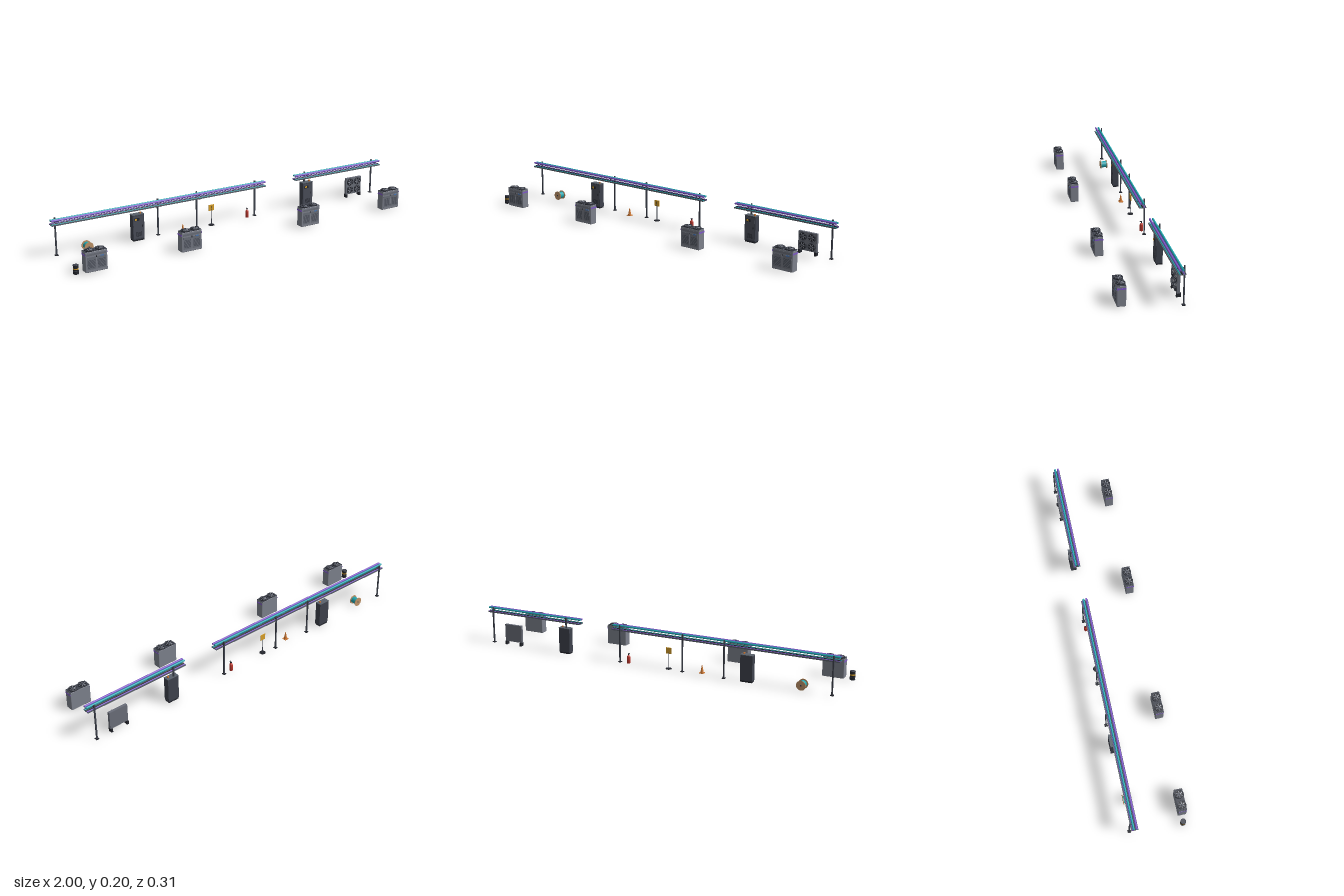
import * as THREE from 'three';
import { RoundedBoxGeometry } from 'three/addons/geometries/RoundedBoxGeometry.js';

const mats = {};
const mat = (c) => (mats[c] ??= new THREE.MeshStandardMaterial({ color: c }));
const BODY = 0x7d818c, FRAME = 0x6a6e79, DARK = 0x3e424d, BLACK = 0x22242b, STEEL = 0x5a626c;
const PURPLE = 0x7e57c8, TEAL = 0x22a6b0, YELLOW = 0xd9a02a, ORANGE = 0xd07a35, RED = 0xc0392f, TAN = 0xc09468;

function add(parent, name, geo, color, x = 0, y = 0, z = 0) {
  const m = new THREE.Mesh(geo, mat(color));
  m.name = name;
  m.position.set(x, y, z);
  parent.add(m);
  return m;
}
const box = (p, name, c, w, h, d, x, y, z) => add(p, name, new THREE.BoxGeometry(w, h, d), c, x, y, z);
const cyl = (p, name, c, r0, r1, h, x, y, z, n = 20) => add(p, name, new THREE.CylinderGeometry(r0, r1, h, n), c, x, y, z);
function group(parent, name, x, y, z) {
  const g = new THREE.Group();
  g.name = name;
  g.position.set(x, y, z);
  parent.add(g);
  return g;
}

// Fan facing +y: dark disc, rim, blades and hub
function fan(parent, r, x, y, z) {
  const g = group(parent, 'fan', x, y, z);
  cyl(g, 'fanWell', BLACK, r, r, 0.003, 0, 0.0015, 0, 24);
  const rim = add(g, 'fanRim', new THREE.TorusGeometry(r * 0.93, r * 0.08, 6, 24), DARK, 0, 0.004, 0);
  rim.rotation.x = Math.PI / 2;
  for (let i = 0; i < 6; i++) {
    const a = (i * Math.PI) / 3;
    const b = box(g, 'fanBlade', BODY, r * 0.6, 0.0008, r * 0.22, Math.cos(a) * r * 0.5, 0.004, -Math.sin(a) * r * 0.5);
    b.rotation.set(0.3, a, 0, 'YXZ');
  }
  cyl(g, 'fanHub', DARK, r * 0.22, r * 0.22, 0.003, 0, 0.0045, 0, 12);
  return g;
}

// Cooling unit with two roof fans and louvred front doors
function chiller(parent, x) {
  const g = group(parent, 'coolingUnit', x, 0, 0.131);
  add(g, 'casing', new RoundedBoxGeometry(0.113, 0.103, 0.043, 2, 0.003), BODY, 0, 0.0535, 0);
  box(g, 'roofPlate', DARK, 0.111, 0.002, 0.041, 0, 0.105, 0);
  for (const s of [-1, 1]) {
    fan(g, 0.0225, s * 0.027, 0.106, 0);
    box(g, 'sideStripe', PURPLE, 0.001, 0.008, 0.042, s * 0.0568, 0.09, 0);
    box(g, 'door', FRAME, 0.046, 0.062, 0.001, s * 0.026, 0.047, 0.0217);
    for (let i = 0; i < 7; i++)
      box(g, 'louvre', DARK, 0.038, 0.002, 0.001, s * 0.026, 0.026 + i * 0.006, 0.0223);
  }
  box(g, 'header', FRAME, 0.1, 0.01, 0.001, 0, 0.09, 0.0217);
  box(g, 'statusDisplay', 0x4a78b8, 0.018, 0.006, 0.001, 0.03, 0.0785, 0.0222);
  box(g, 'handle', BLACK, 0.003, 0.009, 0.002, 0, 0.078, 0.0222);
}

// Electrical cabinet with screen, warning plate and beacon
function cabinet(parent, x) {
  const g = group(parent, 'controlCabinet', x, 0, -0.1365);
  box(g, 'plinth', BLACK, 0.06, 0.008, 0.03, 0, 0.004, 0);
  box(g, 'cabinetBody', DARK, 0.064, 0.13, 0.032, 0, 0.073, 0);
  box(g, 'cabinetRoof', STEEL, 0.066, 0.003, 0.033, 0, 0.1385, 0);
  box(g, 'door', 0x4a4e59, 0.056, 0.118, 0.001, 0, 0.073, 0.0163);
  box(g, 'screen', BLACK, 0.028, 0.014, 0.0025, -0.01, 0.115, 0.0172);
  box(g, 'warningPlate', YELLOW, 0.012, 0.01, 0.001, -0.015, 0.115, 0.0189);
  box(g, 'doorHandle', BLACK, 0.004, 0.012, 0.003, 0.02, 0.078, 0.0178);
  for (let i = 0; i < 5; i++) box(g, 'vent', BLACK, 0.034, 0.002, 0.001, 0, 0.025 + i * 0.005, 0.017);
  cyl(g, 'beacon', ORANGE, 0.0045, 0.0045, 0.008, 0.018, 0.144, 0.001, 12);
}

// Cable tray carrying cables, with two coolant pipes above
function trayRun(parent, x0, x1, posts) {
  const g = group(parent, 'overheadRun', 0, 0, 0);
  const len = x1 - x0, mid = (x0 + x1) / 2;
  const pipe = (name, c, r, y, z) => { cyl(g, name, c, r, r, len, mid, y, z, 14).rotation.z = Math.PI / 2; };
  box(g, 'trayFloor', STEEL, len, 0.002, 0.036, mid, 0.1665, -0.125);
  for (const z of [-0.1075, -0.1425]) box(g, 'trayLip', STEEL, len, 0.007, 0.001, mid, 0.169, z);
  pipe('purplePipe', PURPLE, 0.0052, 0.19, -0.115);
  pipe('tealPipe', TEAL, 0.0052, 0.19, -0.13);
  pipe('tealCable', TEAL, 0.0028, 0.1705, -0.115);
  pipe('blackCable', BLACK, 0.0032, 0.171, -0.125);
  pipe('purpleCable', PURPLE, 0.0028, 0.1705, -0.135);
  for (const x of posts) {
    box(g, 'post', DARK, 0.007, 0.197, 0.006, x, 0.0985, -0.1445);
    box(g, 'postFoot', BLACK, 0.016, 0.003, 0.017, x, 0.0015, -0.1445);
    box(g, 'trayArm', DARK, 0.007, 0.002, 0.036, x, 0.1648, -0.126);
    box(g, 'pipeArm', DARK, 0.006, 0.003, 0.034, x, 0.1845, -0.127);
  }
}

// Free-standing radiator with four fans
function radiator(parent, x) {
  const g = group(parent, 'radiator', x, 0, -0.1405);
  box(g, 'radiatorCore', FRAME, 0.104, 0.094, 0.014, 0, 0.0655, 0);
  for (const sx of [-1, 1]) {
    box(g, 'radiatorFoot', BLACK, 0.01, 0.019, 0.022, sx * 0.046, 0.0095, -0.0015);
    for (const sy of [-1, 1]) fan(g, 0.021, sx * 0.025, 0.0655 + sy * 0.023, 0.007).rotation.x = Math.PI / 2;
  }
}

// Cable drum lying with its axle front to back
function drum(parent, x) {
  const g = group(parent, 'cableDrum', x, 0.0245, -0.125);
  g.rotation.x = Math.PI / 2;
  cyl(g, 'woundCable', TEAL, 0.018, 0.018, 0.034, 0, 0, 0, 24);
  for (const s of [-1, 1]) {
    cyl(g, 'drumFlange', TAN, 0.0245, 0.0245, 0.003, 0, s * 0.0175, 0, 24);
    cyl(g, 'drumHub', DARK, 0.004, 0.004, 0.001, 0, s * 0.0194, 0, 12);
  }
}

function cone(parent, x) {
  const g = group(parent, 'trafficCone', x, 0, -0.118);
  box(g, 'coneBase', ORANGE, 0.024, 0.003, 0.024, 0, 0.0015, 0);
  cyl(g, 'coneBody', ORANGE, 0.0015, 0.0088, 0.039, 0, 0.0225, 0);
  cyl(g, 'coneBand', 0xd8d4cc, 0.0043, 0.0058, 0.007, 0, 0.0225, 0);
}

function warningSign(parent, x) {
  const g = group(parent, 'warningSign', x, 0, -0.133);
  cyl(g, 'signBase', BLACK, 0.015, 0.016, 0.003, 0, 0.0015, 0);
  cyl(g, 'signPole', DARK, 0.002, 0.002, 0.085, 0, 0.0445, 0, 10);
  box(g, 'signPanel', YELLOW, 0.031, 0.032, 0.003, 0, 0.097, 0);
  box(g, 'signMark', BLACK, 0.003, 0.012, 0.001, 0, 0.1, 0.0016);
  box(g, 'signDot', BLACK, 0.003, 0.003, 0.001, 0, 0.089, 0.0016);
}

function extinguisher(parent, x) {
  const g = group(parent, 'extinguisher', x, 0, -0.142);
  const pts = [[0, 0], [0.009, 0], [0.009, 0.034], [0.0065, 0.039], [0.003, 0.042], [0.003, 0.046], [0, 0.046]];
  add(g, 'bottle', new THREE.LatheGeometry(pts.map((p) => new THREE.Vector2(...p)), 20), RED);
  box(g, 'valve', BLACK, 0.006, 0.005, 0.006, 0, 0.0475, 0);
  box(g, 'lever', BLACK, 0.004, 0.002, 0.012, 0, 0.0515, 0.003);
}

function barrel(parent, x) {
  const g = group(parent, 'barrel', x, 0, 0.126);
  cyl(g, 'barrelBody', BLACK, 0.0135, 0.0135, 0.045, 0, 0.0225, 0, 24);
  cyl(g, 'barrelBand', YELLOW, 0.0138, 0.0138, 0.006, 0, 0.027, 0, 24);
  for (const y of [0.0015, 0.015, 0.0445]) {
    const r = add(g, 'barrelRib', new THREE.TorusGeometry(0.0133, 0.001, 6, 24), DARK, 0, y, 0);
    r.rotation.x = Math.PI / 2;
  }
  cyl(g, 'barrelLid', DARK, 0.0115, 0.0115, 0.001, 0, 0.0453, 0, 24);
}

export function createModel() {
  const root = new THREE.Group();
  root.name = 'coolingYard';
  for (const x of [-0.889, -0.376, 0.338, 0.875]) chiller(root, x);
  for (const x of [-0.532, 0.509]) cabinet(root, x);
  trayRun(root, -1, 0.225, [-0.97, -0.41, -0.182, 0.176]);
  trayRun(root, 0.42, 1, [0.5, 0.965]);
  radiator(root, 0.836);
  drum(root, -0.813);
  cone(root, -0.28);
  warningSign(root, -0.1);
  extinguisher(root, 0.127);
  barrel(root, -0.985);
  return root;
}
